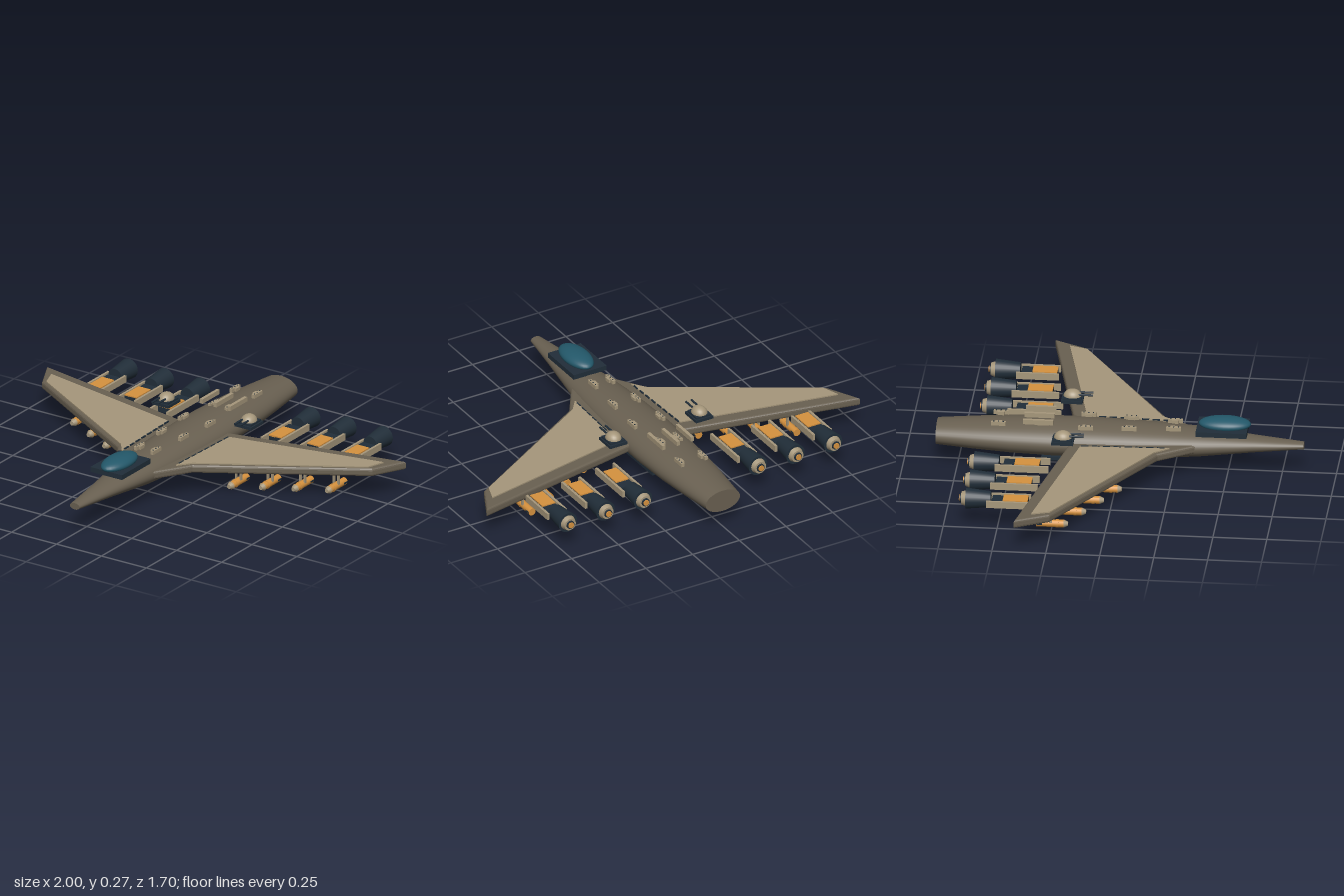
import * as THREE from 'three';

const mat = (name, color, side = THREE.FrontSide) => {
  const m = new THREE.MeshStandardMaterial({ color, side });
  m.name = name;
  return m;
};

export function createModel() {
  const root = new THREE.Group();
  root.name = 'flyingWingBomber';
  const hull = mat('hullBrown', 0x696051);
  const tan = mat('panelTan', 0xa6977b);
  const dark = mat('darkNavy', 0x212e39);
  const glass = mat('canopyTeal', 0x23586a);
  const orange = mat('orange', 0xd6923f);

  const add = (parent, name, geo, material, x = 0, y = 0, z = 0) => {
    const m = new THREE.Mesh(geo, material);
    m.name = name;
    m.position.set(x, y, z);
    parent.add(m);
    return m;
  };
  const box = (w, h, d) => new THREE.BoxGeometry(w, h, d);
  // cylinder along z
  const rod = (front, back, len, seg = 20) =>
    new THREE.CylinderGeometry(front, back, len, seg).rotateX(Math.PI / 2);
  const group = (name, x = 0, y = 0, z = 0) => {
    const g = new THREE.Group();
    g.name = name;
    g.position.set(x, y, z);
    root.add(g);
    return g;
  };

  // Fuselage: flattened lathe, profile of half-height against z
  const profile = [[0.054, -0.85], [0.066, -0.68], [0.076, -0.5], [0.081, -0.3], [0.081, -0.15],
    [0.077, 0.05], [0.07, 0.22], [0.062, 0.36], [0.05, 0.48], [0.036, 0.62], [0.016, 0.85]];
  const aspect = 1.7;
  const body = new THREE.LatheGeometry(profile.map(p => new THREE.Vector2(...p)), 40)
    .rotateX(Math.PI / 2).scale(aspect, 1, 1);
  add(root, 'fuselage', body, hull, 0, 0.139, 0);
  add(root, 'tailCap', new THREE.CircleGeometry(0.054, 40).rotateY(Math.PI).scale(aspect, 1, 1), hull, 0, 0.139, -0.85);
  add(root, 'noseCap', new THREE.CircleGeometry(0.016, 40).scale(aspect, 1, 1), hull, 0, 0.139, 0.85);

  // Canopy on its plinth
  add(root, 'canopyBase', box(0.176, 0.024, 0.236), dark, 0, 0.212, 0.473);
  add(root, 'canopy', new THREE.SphereGeometry(1, 32, 20).scale(0.063, 0.033, 0.121), glass, 0, 0.234, 0.483);

  // Flat plan shape (x, z) extruded downwards
  const slab = (side, pts, depth, bevel) => {
    const shape = new THREE.Shape(pts.map(([x, z]) => new THREE.Vector2(x * side, z)));
    return new THREE.ExtrudeGeometry(shape, {
      depth, bevelEnabled: bevel > 0, bevelThickness: bevel, bevelSize: bevel,
      bevelOffset: -bevel, bevelSegments: 3,
    }).rotateX(Math.PI / 2);
  };
  const wingPlan = [[0, 0.37], [0.1, 0.36], [0.21, 0.19], [0.92, -0.24], [1, -0.4], [0.1, -0.22], [0, -0.22]];
  const panelPlan = [[0.15, 0.24], [0.2, 0.175], [0.895, -0.24], [0.925, -0.325], [0.17, -0.172]];

  for (const side of [1, -1]) {
    const tag = side > 0 ? 'left' : 'right';

    // Wing with raised upper panel and seam dashes
    add(root, tag + 'Wing', slab(side, wingPlan, 0.016, 0.012), hull, 0, 0.149, 0);
    add(root, tag + 'WingPanel', slab(side, panelPlan, 0.008, 0), tan, 0, 0.167, 0);
    for (let i = 0; i < 8; i++) {
      const z = 0.2 - i * 0.05;
      add(root, tag + 'SeamDash', box(0.006, 0.006, 0.034), dark, side * (0.153 + i * 0.0018), 0.166, z);
    }

    // Thrusters: rear nozzle held by two rails behind the trailing edge
    [[0.308, -0.3, -0.345], [0.508, -0.33, -0.362], [0.71, -0.35, -0.36]].forEach(([x, railFront, podFront]) => {
      const t = group(tag + 'Thruster', side * x, 0.132, 0);
      const len = railFront + 0.55;
      for (const s of [1, -1]) {
        add(t, 'rail', box(0.012, 0.032, len), tan, s * 0.046, -0.006, railFront - len / 2);
      }
      add(t, 'pod', box(0.07, 0.026, 0.166), dark, 0, -0.008, podFront - 0.083);
      add(t, 'podCover', box(0.068, 0.008, 0.115), orange, 0, 0.007, podFront - 0.0575);
      add(t, 'nozzle', rod(0.037, 0.049, 0.115, 24), dark, 0, 0, -0.59);
      add(t, 'nozzleLip', rod(0.037, 0.037, 0.012, 24), dark, 0, 0, -0.538);
      add(t, 'exhaustRing', rod(0.038, 0.03, 0.024, 24), tan, 0, 0, -0.657);
      add(t, 'exhaustHub', rod(0.021, 0.019, 0.012, 20), dark, 0, 0, -0.67);
      add(t, 'exhaustCore', rod(0.016, 0.014, 0.012, 20), orange, 0, 0, -0.674);
    });

    // Bombs hung under the wing, staggered backwards
    [0.307, 0.436, 0.57, 0.709].forEach((x, i) => {
      const b = group(tag + 'Bomb', side * x, 0, -0.045 - i * 0.07);
      add(b, 'pylon', box(0.034, 0.028, 0.095), dark, 0, 0.108, 0);
      for (const s of [1, -1]) add(b, 'strut', box(0.007, 0.068, 0.014), tan, s * 0.013, 0.064, 0);
      add(b, 'casing', rod(0.018, 0.018, 0.13, 16), orange, 0, 0.022, -0.002);
      add(b, 'noseCone', rod(0.01, 0.019, 0.02, 16), tan, 0, 0.022, 0.07);
      add(b, 'band', rod(0.0195, 0.0195, 0.012, 16), orange, 0, 0.022, 0.03);
      add(b, 'tailFin', box(0.039, 0.008, 0.026), dark, 0, 0.022, -0.052);
    });

    // Gun turret
    const g = group(tag + 'Turret', side * 0.23, 0, -0.245);
    add(g, 'turretBase', box(0.092, 0.014, 0.1), dark, 0, 0.222, 0);
    add(g, 'turretCollar', box(0.078, 0.012, 0.084), dark, 0, 0.232, 0);
    add(g, 'turretDome', new THREE.SphereGeometry(1, 24, 14).scale(0.037, 0.034, 0.042), tan, 0, 0.236, 0);
    for (const s of [1, -1]) add(g, 'gunBarrel', rod(0.005, 0.005, 0.075, 10), dark, s * 0.015, 0.249, 0.058);

    // Bolted hinge plates along the spine
    [[0.046, 0.25], [0.062, 0.045], [0.075, -0.155], [0.046, -0.36], [0.062, -0.56]].forEach(([x, z]) => {
      const p = group(tag + 'HingePlate', side * x, 0.217, z);
      add(p, 'plate', box(0.016, 0.018, 0.068), tan);
      add(p, 'hingeTab', box(0.012, 0.016, 0.032), tan, -side * 0.012, 0, 0);
      for (const dz of [-0.022, 0, 0.022]) {
        add(p, 'bolt', new THREE.CylinderGeometry(0.003, 0.003, 0.003, 8), dark, 0, 0.01, dz);
      }
    });

    // Bomb bay door: dark frame around a brown panel
    const d = group(tag + 'BayDoor', side * 0.054, 0, -0.16);
    add(d, 'doorFrame', box(0.07, 0.018, 0.4), dark, 0, 0.06, 0);
    add(d, 'doorPanel', box(0.05, 0.006, 0.37), hull, 0, 0.05, 0);
  }

  // Raised rails on the rear spine
  for (const x of [-0.077, 0, 0.077]) add(root, 'spineRail', box(0.016, 0.022, 0.14), tan, x, 0.239, -0.375);

  return root;
}
